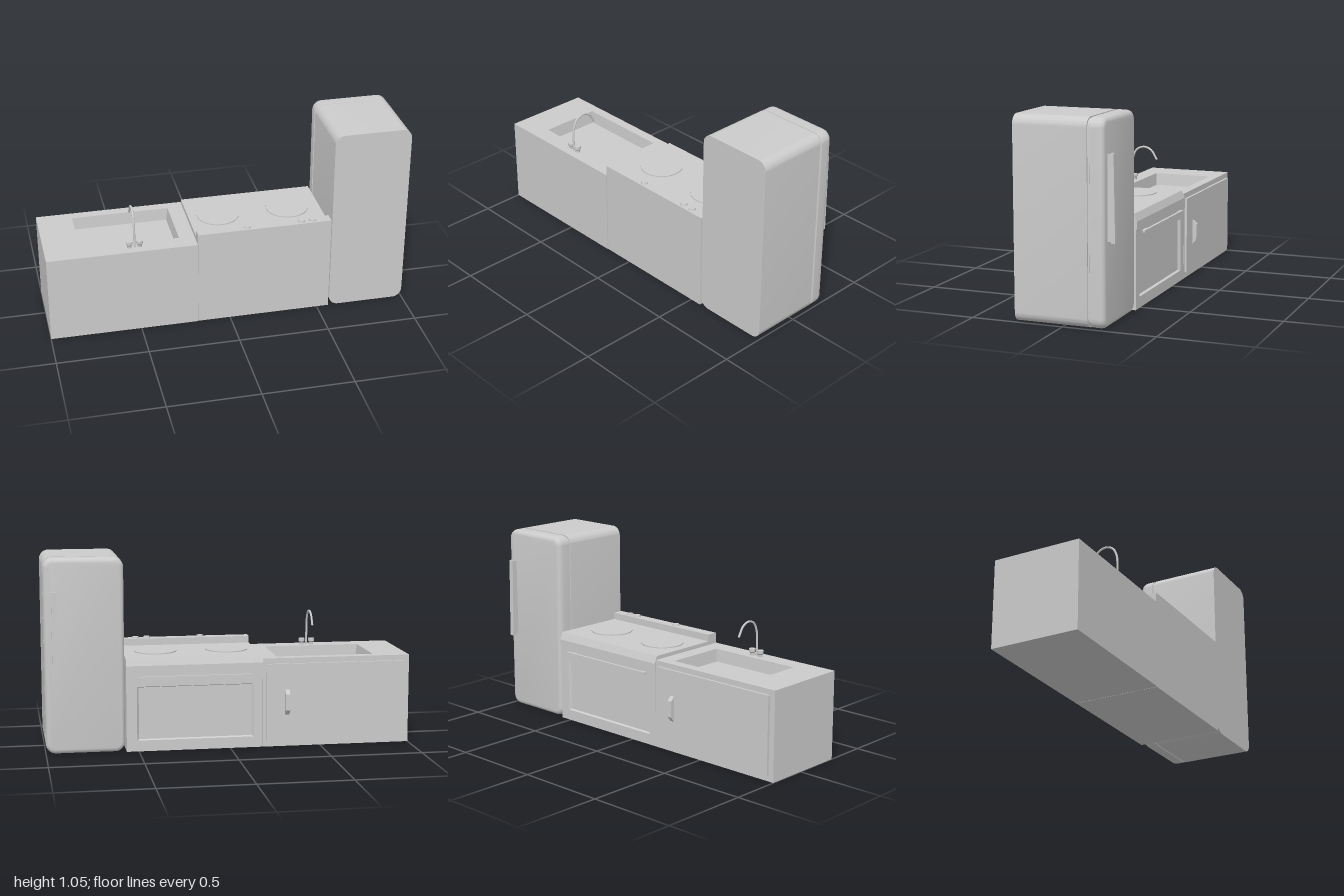
import * as THREE from 'three';
import { toCreasedNormals } from 'three/addons/utils/BufferGeometryUtils.js';

const grey = new THREE.MeshStandardMaterial({ color: 0xcccccc });
const thin = new THREE.MeshStandardMaterial({ color: 0xcccccc, side: THREE.DoubleSide });

export function createModel() {
  const root = new THREE.Group();
  const group = (name) => {
    const g = new THREE.Group();
    g.name = name;
    root.add(g);
    return g;
  };
  const add = (parent, name, geo, mat = grey) => {
    const m = new THREE.Mesh(geo, mat);
    m.name = name;
    parent.add(m);
    return m;
  };
  // Box given by its limits
  const box = (x0, x1, y0, y1, z0, z1) =>
    new THREE.BoxGeometry(x1 - x0, y1 - y0, z1 - z0)
      .translate((x0 + x1) / 2, (y0 + y1) / 2, (z0 + z1) / 2);
  // Side profile of [z, y] points swept across x
  const sweepX = (points, x0, x1) =>
    new THREE.ExtrudeGeometry(new THREE.Shape(points.map(([z, y]) => new THREE.Vector2(z, y))),
      { depth: x1 - x0, bevelEnabled: false }).rotateY(-Math.PI / 2).translate(x1, 0, 0);
  // Sloping four-sided wall of a recess, opening upwards
  const recess = (w, d, h, shrink) =>
    new THREE.CylinderGeometry(Math.SQRT1_2, Math.SQRT1_2 * shrink, h, 4, 1, true)
      .rotateY(Math.PI / 4).scale(w, 1, d).toNonIndexed();
  const flat = (geo) => { geo.computeVertexNormals(); return geo; };
  // Rectangle with a rectangular hole, extruded along z
  const rect = (T, x0, x1, y0, y1) => new T([[x0, y0], [x1, y0], [x1, y1], [x0, y1]]
    .map(([x, y]) => new THREE.Vector2(x, y)));
  const frame = (outer, hole, depth) => {
    const s = rect(THREE.Shape, ...outer);
    s.holes.push(rect(THREE.Path, ...hole));
    return new THREE.ExtrudeGeometry(s, { depth, bevelEnabled: false });
  };
  // Rectangle with rounded corners
  const rounded = (x0, x1, y0, y1, r) => {
    const s = new THREE.Shape();
    s.absarc(x1 - r, y0 + r, r, -Math.PI / 2, 0);
    s.absarc(x1 - r, y1 - r, r, 0, Math.PI / 2);
    s.absarc(x0 + r, y1 - r, r, Math.PI / 2, Math.PI);
    s.absarc(x0 + r, y0 + r, r, Math.PI, Math.PI * 1.5);
    return s;
  };

  // Sink cabinet
  const sink = group('sinkUnit');
  add(sink, 'sinkCabinet', box(-1, -0.18, 0, 0.42, -0.225, 0.268));
  add(sink, 'worktop', frame([-1, -0.18, -0.268, 0.225], [-0.805, -0.265, -0.17, 0.17], 0.07)
    .rotateX(-Math.PI / 2).translate(0, 0.42, 0));
  add(sink, 'basinWalls', flat(recess(0.54, 0.34, 0.07, 0.965)).translate(-0.535, 0.455, 0), thin);
  add(sink, 'cabinetDoor', box(-0.968, -0.2, 0.035, 0.46, -0.238, -0.225));
  add(sink, 'cabinetHandle', sweepX(
    [[-0.236, 0.175], [-0.236, 0.32], [-0.261, 0.295], [-0.261, 0.205]], -0.325, -0.3));

  // Tap with two handles
  const tap = group('tap');
  const spout = new THREE.CatmullRomCurve3([
    [0.215, 0.49], [0.215, 0.56], [0.21, 0.63], [0.185, 0.678], [0.14, 0.694], [0.095, 0.675], [0.063, 0.625],
  ].map(([z, y]) => new THREE.Vector3(-0.517, y, z)));
  add(tap, 'spout', new THREE.TubeGeometry(spout, 28, 0.006, 10), thin);
  add(tap, 'spoutTip', new THREE.SphereGeometry(0.006, 10, 6).translate(-0.517, 0.625, 0.063));
  for (const x of [-0.545, -0.489]) {
    const knob = new THREE.LatheGeometry([[0, 0], [0.012, 0], [0.012, 0.012], [0.018, 0.02], [0.018, 0.036], [0, 0.036]]
      .map(([r, y]) => new THREE.Vector2(r, y)), 20);
    add(tap, 'tapHandle', toCreasedNormals(knob, 0.5)).position.set(x, 0.49, 0.211);
  }

  // Cooker: body, hob with slanted front edge, and raised knob ledge
  const cooker = group('cooker');
  add(cooker, 'cookerBody', sweepX([
    [0.265, 0], [0.265, 0.548], [0.203, 0.548], [0.203, 0.51], [-0.215, 0.51],
    [-0.232, 0.47], [-0.232, 0.43], [-0.211, 0.43], [-0.211, 0]], -0.178, 0.567));
  for (const x of [-0.013, 0.383])
    add(cooker, 'hotplate', new THREE.CylinderGeometry(0.117, 0.117, 0.008, 40).translate(x, 0.512, 0.002));
  for (const x of [0.1, 0.405, 0.468])
    add(cooker, 'cookerKnob', new THREE.CylinderGeometry(0.018, 0.02, 0.01, 20).translate(x, 0.552, 0.235));

  // Oven door with sloping recessed panel and bar handle
  add(cooker, 'ovenDoor', frame([-0.178, 0.567, 0, 0.43], [-0.13, 0.51, 0.06, 0.355], 0.014).translate(0, 0, -0.225));
  add(cooker, 'ovenPanelEdge', flat(recess(0.64, 0.295, 0.014, 0.965).rotateX(-Math.PI / 2))
    .translate(0.19, 0.2075, -0.218), thin);
  add(cooker, 'ovenHandle', box(-0.115, 0.497, 0.4, 0.412, -0.25, -0.236));
  for (const x of [-0.09, 0.45])
    add(cooker, 'ovenHandlePost', box(x - 0.02, x + 0.02, 0.4, 0.41, -0.238, -0.224));

  // Refrigerator
  const fridge = group('refrigerator');
  const shell = (s, depth, z) => toCreasedNormals(
    new THREE.ExtrudeGeometry(s, { depth, bevelEnabled: false, curveSegments: 6 }).translate(0, 0, z), 0.5);
  add(fridge, 'fridgeBody', shell(rounded(0.573, 1, 0, 1.055, 0.052), 0.398, -0.137));
  add(fridge, 'doorSeal', shell(rounded(0.581, 0.992, 0.008, 1.047, 0.046), 0.02, -0.155));
  const door = new THREE.ExtrudeGeometry(rounded(0.597, 0.976, 0.024, 1.031, 0.03), {
    depth: 0.045, bevelThickness: 0.032, bevelSize: 0.024, bevelSegments: 4, curveSegments: 6,
  });
  // Keep the rounding on the outer face only
  const p = door.attributes.position;
  for (let i = 0; i < p.count; i++) {
    const z = p.getZ(i);
    p.setZ(i, z > 0.046 ? -0.147 + (z - 0.077) * 0.12 : -0.193 + z * (z > 0 ? 0.94 : 1));
  }
  door.computeVertexNormals();
  add(fridge, 'fridgeDoor', toCreasedNormals(door, 0.6));

  // Fridge handle: narrow web under a wider, slightly leaning grip
  add(fridge, 'handleWeb', sweepX(
    [[-0.222, 0.44], [-0.226, 0.875], [-0.258, 0.875], [-0.262, 0.44]], 0.938, 0.952));
  add(fridge, 'handleGrip', sweepX(
    [[-0.247, 0.433], [-0.244, 0.88], [-0.261, 0.88], [-0.268, 0.433]], 0.931, 0.959));

  return root;
}
